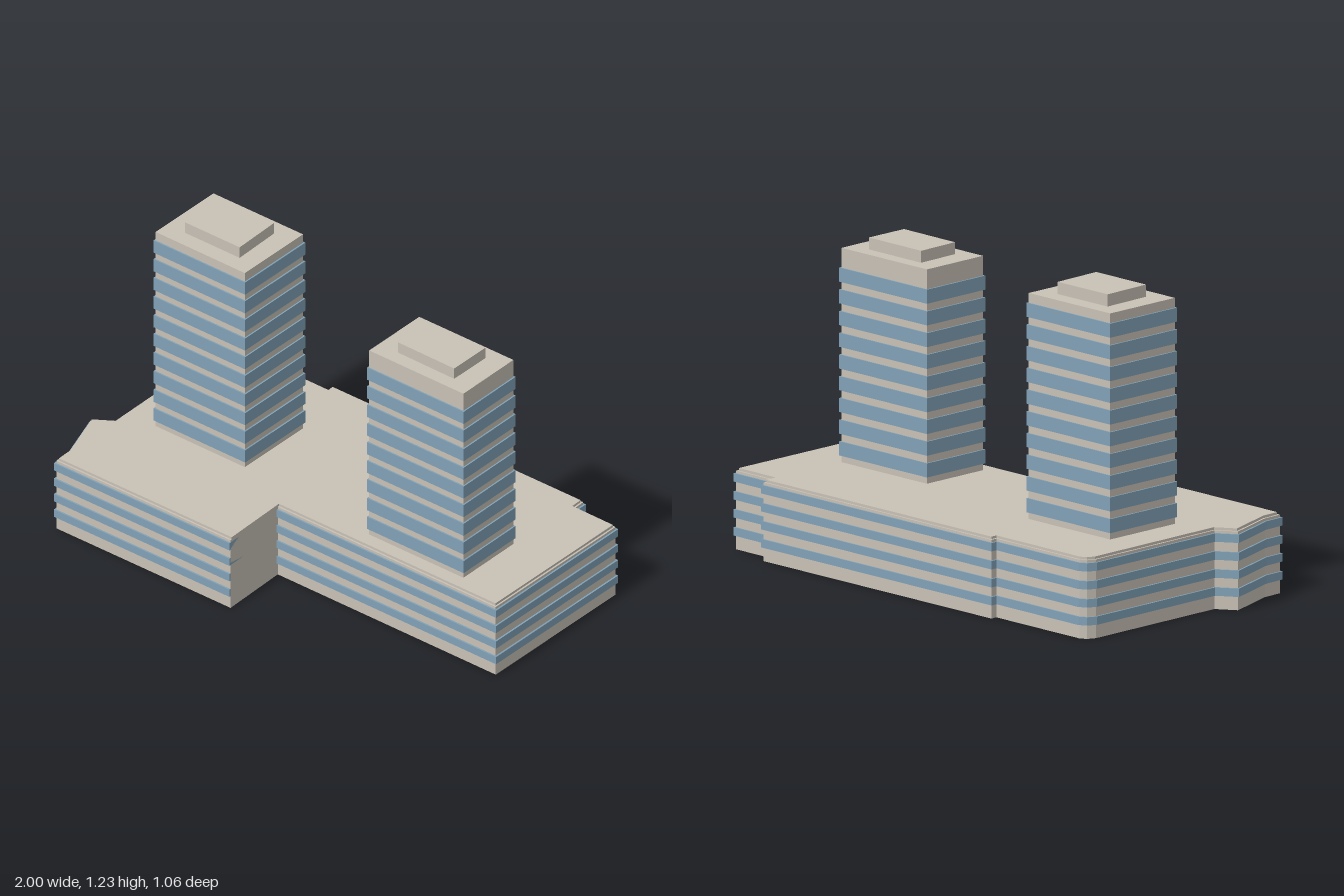
import * as THREE from 'three';

const stone = new THREE.MeshStandardMaterial({ color: 0xc8c1b6 });
stone.name = 'stone';
const glass = new THREE.MeshStandardMaterial({ color: 0x80a1b6 });
glass.name = 'glass';

// Moves every edge of an [x, z] outline inward by d, except the plain edge
function inset(points, d, plainEdge = -1) {
  const n = points.length;
  const lines = points.map(([x, z], i) => {
    const [x2, z2] = points[(i + 1) % n];
    const len = Math.hypot(x2 - x, z2 - z);
    const nx = (z - z2) / len, nz = (x2 - x) / len; // outward normal
    return [nx, nz, nx * x + nz * z - (i === plainEdge ? 0 : d)];
  });
  return lines.map(([a, b, c], i) => {
    const [e, f, g] = lines[(i + n - 1) % n];
    const det = a * f - b * e;
    return [(c * f - b * g) / det, (a * g - c * e) / det];
  });
}

// Upright prism over an [x, z] outline
function prism(name, points, y0, y1, material) {
  const shape = new THREE.Shape(points.map(([x, z]) => new THREE.Vector2(x, -z)));
  const geo = new THREE.ExtrudeGeometry(shape, { depth: y1 - y0, bevelEnabled: false });
  geo.rotateX(-Math.PI / 2);
  geo.translate(0, y0, 0);
  const mesh = new THREE.Mesh(geo, material);
  mesh.name = name;
  return mesh;
}

function podium() {
  const group = new THREE.Group();
  group.name = 'podium';
  const outline = [
    [-0.933, 0.505], [-0.085, 0.526], [-0.085, 0.24], [0.977, 0.27],
    [0.998, -0.443], [0.8, -0.45], [0.8, -0.5], [-0.425, -0.53],
    [-0.425, -0.504], [-0.862, -0.516], [-0.893, -0.5], [-0.91, -0.465],
    [-0.922, 0.155], [-1, 0.203], [-0.933, 0.42],
  ];
  const plain = 1; // the inner corner wall has no windows
  group.add(prism('podiumWalls', inset(outline, 0.007, plain), 0, 0.303, stone));
  group.add(prism('podiumRoof', inset(outline, 0.014, plain), 0.303, 0.313, stone));
  for (let i = 0; i < 4; i++) {
    const y = 0.053 + i * 0.0693;
    group.add(prism('podiumWindowBand', outline, y, y + 0.032, glass));
  }
  return group;
}

function tower(name, outline, roofBox, top, roofTop, floors) {
  const group = new THREE.Group();
  group.name = name;
  group.add(prism('towerWalls', inset(outline, 0.006), 0.31, top, stone));
  group.add(prism('roofHouse', roofBox, top, roofTop, stone));
  for (let i = 0; i < floors; i++) {
    const y = 0.339 + i * 0.0836;
    group.add(prism('towerWindowBand', outline, y, y + 0.054, glass));
  }
  return group;
}

export function createModel() {
  const model = new THREE.Group();
  model.name = 'twinTowerBuilding';
  model.add(podium());
  model.add(tower('rightTower',
    [[-0.775, 0.104], [-0.331, 0.117], [-0.32, -0.234], [-0.765, -0.245]],
    [[-0.68, 0.035], [-0.415, 0.042], [-0.415, -0.165], [-0.68, -0.17]],
    1.183, 1.23, 10));
  model.add(tower('leftTower',
    [[0.301, 0.187], [0.769, 0.2], [0.776, -0.106], [0.309, -0.118]],
    [[0.4, 0.126], [0.674, 0.136], [0.68, -0.046], [0.4, -0.055]],
    1.138, 1.184, 9));
  return model;
}
